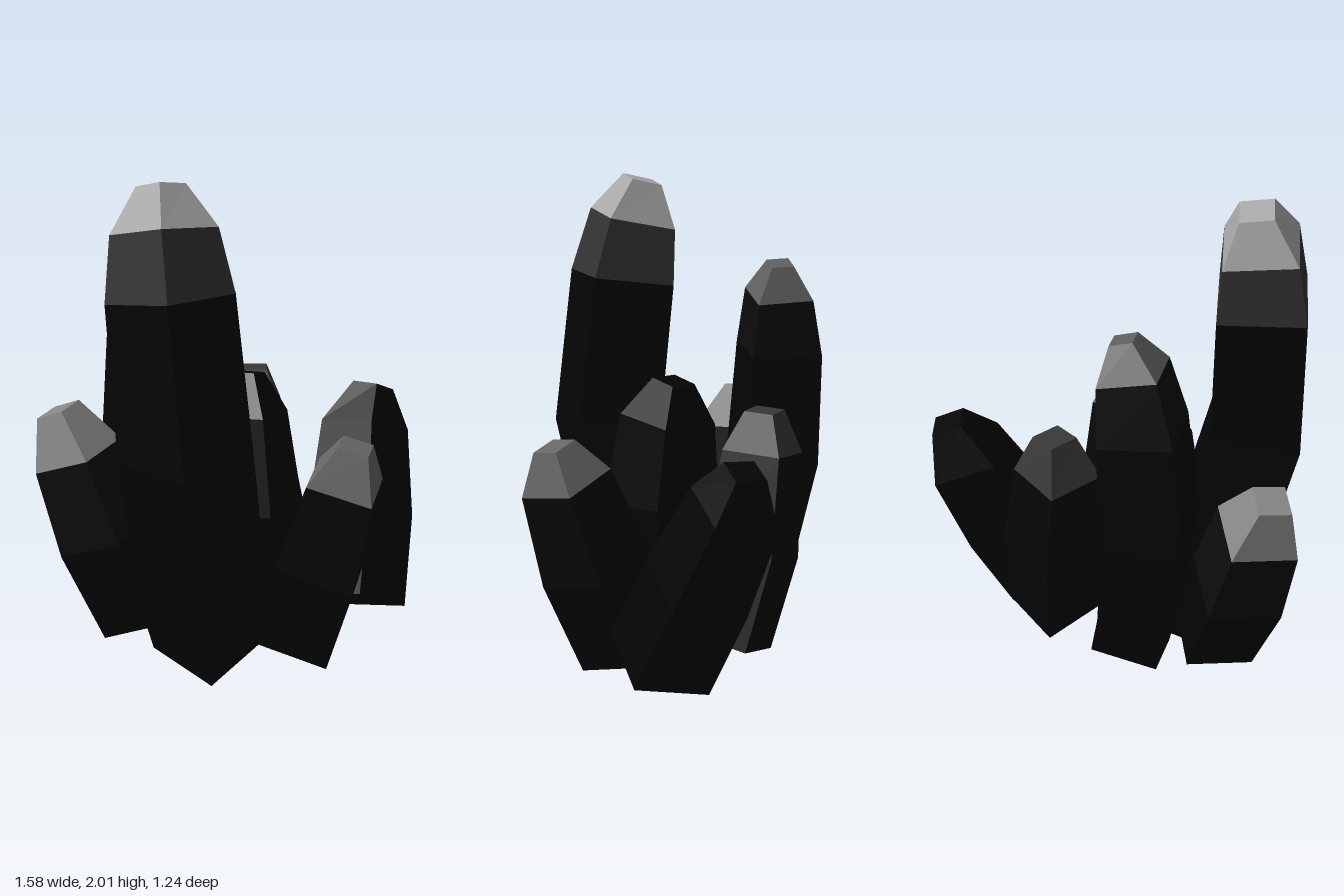
import * as THREE from 'three';

const UP = new THREE.Vector3(0, 1, 0);

// Each crystal: twist in degrees, colours of body, collar and tip,
// and rings [x, y, z, half width] from the base up to the cut tip.
const DARK = 0x040404;
const CRYSTALS = [
  { name: 'tallLeftCrystal', yaw: 10, tones: [DARK, 0x333333, 0xa8a8a8], rings: [
    [-0.24, 0.09, -0.02, 0.165], [-0.35, 0.4, 0.075, 0.183], [-0.492, 0.975, 0.197, 0.18],
    [-0.507, 1.57, 0.13, 0.171], [-0.5, 1.815, 0.085, 0.142], [-0.485, 1.978, 0.045, 0.065]] },
  { name: 'tallBackCrystal', yaw: 2, tones: [DARK, 0x0c0c0c, 0x606060], rings: [
    [-0.1, 0.19, -0.275, 0.137], [-0.16, 0.42, -0.348, 0.147], [-0.22, 0.85, -0.458, 0.156],
    [-0.19, 1.3, -0.475, 0.143], [-0.15, 1.53, -0.463, 0.113], [-0.113, 1.66, -0.458, 0.045]] },
  { name: 'leftBackCrystal', yaw: 26, tones: [DARK, 0x0c0c0c, 0x888888], rings: [
    [-0.425, 0.19, -0.2, 0.138], [-0.535, 0.53, -0.305, 0.149],
    [-0.618, 0.86, -0.388, 0.13], [-0.675, 1.05, -0.44, 0.064]] },
  { name: 'frontCrystal', yaw: -48, tones: [DARK, 0x080808, 0x666666], rings: [
    [0.058, 0.13, 0.17, 0.16], [0.06, 0.48, 0.322, 0.16],
    [0.08, 0.83, 0.438, 0.13], [0.093, 0.985, 0.485, 0.06]] },
  { name: 'rightCrystal', yaw: 13, tones: [DARK, DARK, DARK], rings: [
    [0.382, 0.175, 0.118, 0.161], [0.522, 0.51, 0.0, 0.157],
    [0.637, 0.84, -0.12, 0.132], [0.7, 1.0, -0.145, 0.062]] },
  { name: 'rightBackCrystal', yaw: -36, tones: [DARK, 0x070707, 0x383838], rings: [
    [0.255, 0.21, -0.175, 0.137], [0.226, 0.56, -0.275, 0.145],
    [0.187, 0.955, -0.325, 0.12], [0.193, 1.12, -0.33, 0.06]] },
  { name: 'centreCrystal', yaw: 33, tones: [DARK, DARK, DARK], rings: [
    [-0.01, 0.2, 0.0, 0.145], [-0.1, 0.69, 0.035, 0.168],
    [-0.092, 1.04, 0.005, 0.136], [-0.068, 1.2, -0.015, 0.06]] },
];

// Four corners of every ring, square to the bending axis
function ringCorners({ rings, yaw }) {
  const centres = rings.map(([x, y, z]) => new THREE.Vector3(x, y, z));
  return rings.map(([, , , w], i) => {
    const before = centres[Math.max(i - 1, 0)];
    const after = centres[Math.min(i + 1, rings.length - 1)];
    const axis = after.clone().sub(before).normalize();
    const lean = new THREE.Quaternion().setFromUnitVectors(UP, axis);
    return [[-1, 1], [1, 1], [1, -1], [-1, -1]].map(([u, v]) =>
      new THREE.Vector3(u * w, 0, v * w)
        .applyAxisAngle(UP, THREE.MathUtils.degToRad(yaw))
        .applyQuaternion(lean)
        .add(centres[i]));
  });
}

// Flat-sided skin through a run of rings, closed at either end on request
function skin(loops, capBottom, capTop) {
  const points = [];
  const quad = (a, b, c, d) => points.push(a, b, c, a, c, d);
  for (let i = 0; i < loops.length - 1; i++) {
    const lo = loops[i], hi = loops[i + 1];
    for (let k = 0; k < 4; k++) {
      const n = (k + 1) % 4;
      quad(lo[k], lo[n], hi[n], hi[k]);
    }
  }
  if (capBottom) quad(...[...loops[0]].reverse());
  if (capTop) quad(...loops[loops.length - 1]);
  const geometry = new THREE.BufferGeometry().setFromPoints(points);
  geometry.computeVertexNormals();
  return geometry;
}

function makeCrystal(spec) {
  const crystal = new THREE.Group();
  crystal.name = spec.name;
  const loops = ringCorners(spec);
  const n = loops.length;
  // Dark body, slightly lighter collar, pale tip
  const parts = [
    ['body', loops.slice(0, n - 2), true, false],
    ['collar', loops.slice(n - 3, n - 1), false, false],
    ['tip', loops.slice(n - 2), false, true],
  ];
  parts.forEach(([name, run, bottom, top], i) => {
    const material = new THREE.MeshStandardMaterial({ color: spec.tones[i], flatShading: true });
    const mesh = new THREE.Mesh(skin(run, bottom, top), material);
    mesh.name = name;
    crystal.add(mesh);
  });
  return crystal;
}

export function createModel() {
  const cluster = new THREE.Group();
  cluster.name = 'crystalCluster';
  CRYSTALS.forEach((spec) => cluster.add(makeCrystal(spec)));
  return cluster;
}
